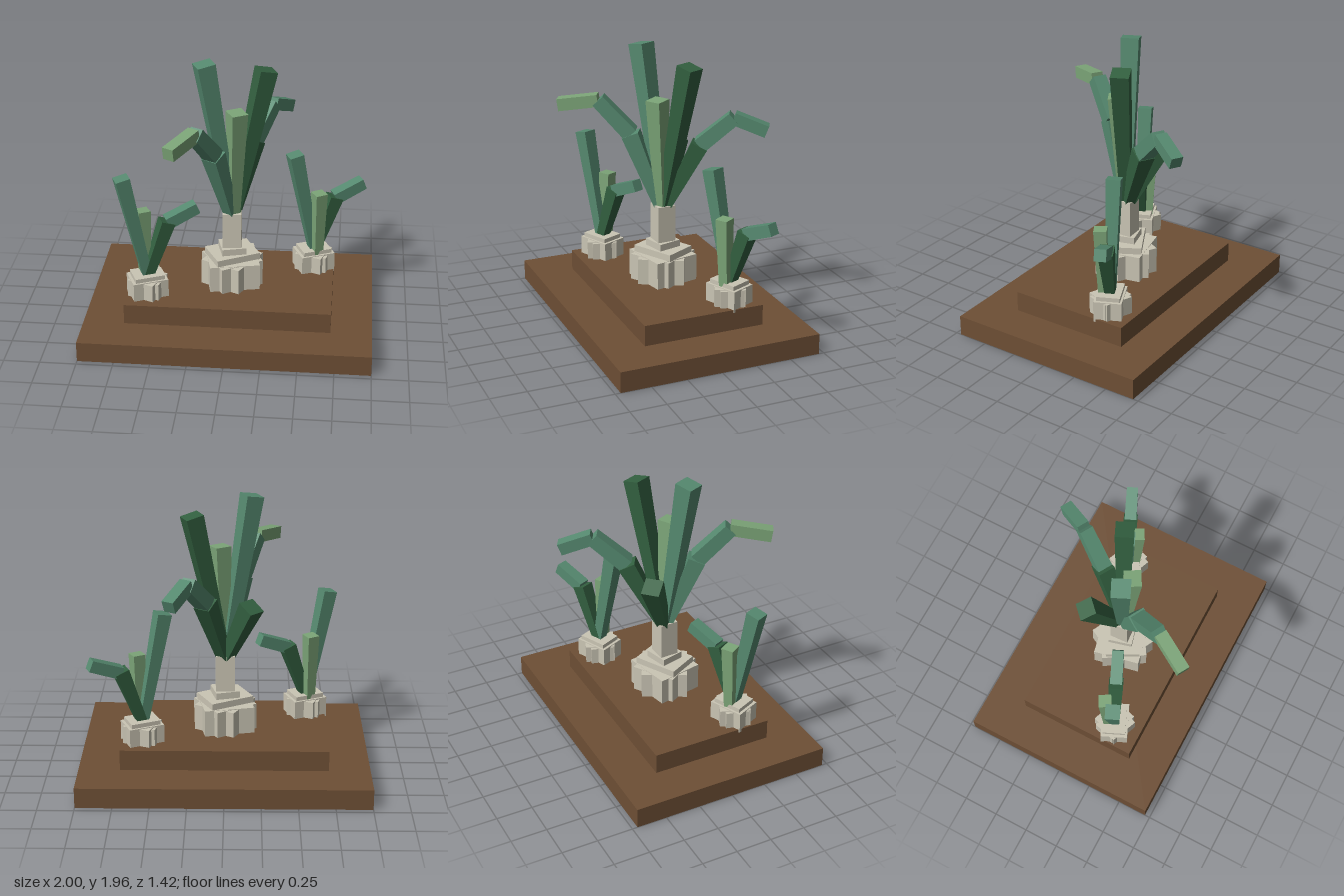
import * as THREE from 'three';

const mat = (name, color) => {
  const m = new THREE.MeshStandardMaterial({ color });
  m.name = name;
  return m;
};

export function createModel() {
  const soil = mat('soil brown', 0x6e4f35);
  const stone = mat('pale stone', 0xcac5b4);
  const teal = mat('blue green leaf', 0x568a70);
  const light = mat('light green leaf', 0x7ca578);
  const dark = mat('dark green leaf', 0x336040);

  const model = new THREE.Group();
  model.name = 'plantDisplay';

  // Upright block between heights y0 and y1, turned by yaw degrees
  function block(parent, name, material, w, d, y0, y1, yaw = 0, x = 0, z = 0) {
    const mesh = new THREE.Mesh(new THREE.BoxGeometry(w, y1 - y0, d), material);
    mesh.position.set(x, (y0 + y1) / 2, z);
    mesh.rotation.y = THREE.MathUtils.degToRad(yaw);
    mesh.name = name;
    parent.add(mesh);
  }

  // Square tapered leaf segment running from a to b, widths w0 to w1
  function leaf(parent, name, material, a, b, w0, w1, heading) {
    const A = new THREE.Vector3(...a), B = new THREE.Vector3(...b);
    const d = B.clone().sub(A), len = d.length();
    d.normalize();
    const h = heading ? new THREE.Vector3(...heading) : new THREE.Vector3(d.x, 0, d.z);
    const n = h.addScaledVector(d, -h.dot(d)).normalize();
    const s = new THREE.Vector3().crossVectors(d, n);
    const geo = new THREE.BoxGeometry(1, len, 1);
    const p = geo.attributes.position;
    for (let i = 0; i < p.count; i++) {
      const w = p.getY(i) > 0 ? w1 : w0;
      p.setXYZ(i, p.getX(i) * w, p.getY(i), p.getZ(i) * w);
    }
    geo.applyMatrix4(new THREE.Matrix4().makeBasis(s, d, n).setPosition(A.add(B).multiplyScalar(0.5)));
    geo.computeVertexNormals();
    const mesh = new THREE.Mesh(geo, material);
    mesh.name = name;
    parent.add(mesh);
  }

  // Stepped base
  block(model, 'lowerBase', soil, 2, 1.425, 0, 0.145);
  block(model, 'upperBase', soil, 1.43, 0.86, 0.145, 0.29);

  // Large central plant: stone mound, pedestal and leaves
  const big = new THREE.Group();
  big.name = 'centralPlant';
  model.add(big);
  block(big, 'moundStone', stone, 0.35, 0.33, 0.28, 0.48, 12);
  block(big, 'moundStone', stone, 0.32, 0.32, 0.28, 0.478, 32);
  block(big, 'moundStone', stone, 0.32, 0.31, 0.28, 0.475, 62);
  block(big, 'moundSlab', stone, 0.32, 0.24, 0.475, 0.527, 28);
  block(big, 'moundSlab', stone, 0.17, 0.17, 0.527, 0.575, 15);
  block(big, 'pedestal', stone, 0.13, 0.13, 0.57, 0.835, 3);

  const root = [0, 0.78, 0];
  const turned = [0.87, 0, -0.5];
  leaf(big, 'tallLeaf', teal, root, [-0.18, 1.95, 0.083], 0.07, 0.125);
  leaf(big, 'darkLeaf', dark, root, [0.22, 1.855, -0.1], 0.07, 0.125);
  leaf(big, 'uprightLeaf', light, [0.01, 0.78, 0.01], [0.036, 1.6, 0.055], 0.065, 0.115, turned);
  leaf(big, 'shortLeaf', dark, root, [-0.18, 1.245, -0.185], 0.07, 0.125);

  // Long leaves that bend over, one to the front and one to the back
  const bends = [
    { name: 'frontBentLeaf', mats: [teal, teal, light],
      pts: [root, [-0.11, 1.34, 0.19], [-0.215, 1.575, 0.385], [-0.355, 1.535, 0.625]] },
    { name: 'backBentLeaf', mats: [dark, teal, teal],
      pts: [root, [0.13, 1.28, -0.22], [0.245, 1.48, -0.42], [0.355, 1.395, -0.615]] },
  ];
  const widths = [[0.07, 0.12], [0.105, 0.095], [0.085, 0.085]];
  for (const { name, mats, pts } of bends)
    widths.forEach(([w0, w1], i) => leaf(big, name, mats[i], pts[i], pts[i + 1], w0, w1));

  // Two small side plants; the upright leaf swaps sides between them
  for (const [name, x, z, side] of [['rightPlant', -0.572, 0.24, -1], ['leftPlant', 0.568, -0.248, 1]]) {
    const g = new THREE.Group();
    g.name = name;
    g.position.set(x, 0, z);
    model.add(g);
    block(g, 'moundStone', stone, 0.25, 0.19, 0.27, 0.42, 24);
    block(g, 'moundStone', stone, 0.21, 0.2, 0.27, 0.415, 68);
    block(g, 'moundStone', stone, 0.23, 0.16, 0.27, 0.41, -15);
    block(g, 'moundSlab', stone, 0.21, 0.16, 0.41, 0.45, 24);
    leaf(g, 'tallLeaf', teal, [0, 0.42, 0], [-0.148, 1.2, 0.066], 0.065, 0.1);
    leaf(g, 'bentLeaf', dark, [0, 0.42, 0], [0.137, 0.83, -0.061], 0.065, 0.1);
    leaf(g, 'bentLeafTip', teal, [0.135, 0.82, -0.06], [0.333, 0.907, -0.148], 0.085, 0.08);
    leaf(g, 'uprightLeaf', light, [0.025 * side, 0.42, 0.04 * side], [0.03 * side, 0.905, 0.058 * side], 0.065, 0.088, turned);
  }
  return model;
}
